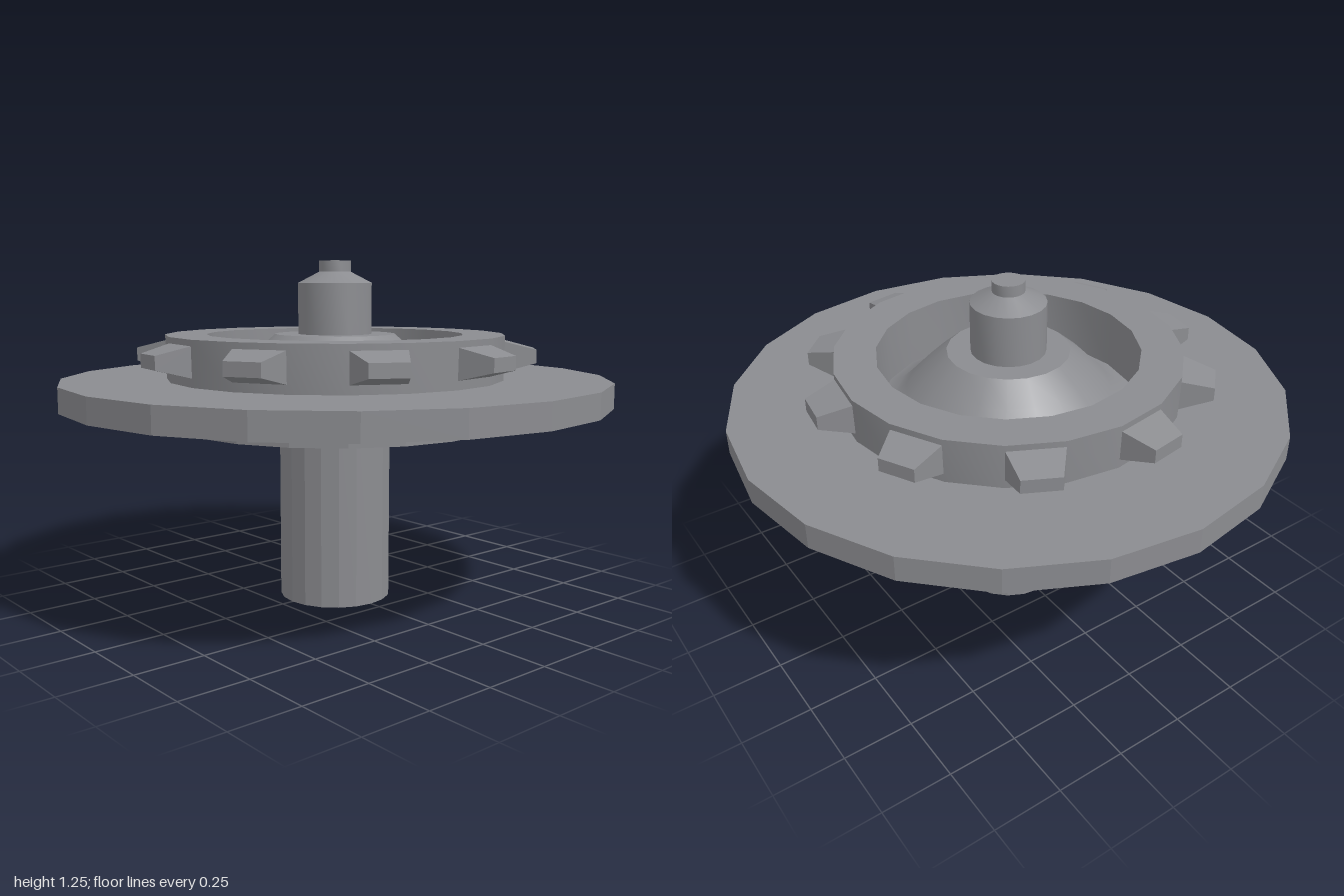
import * as THREE from 'three';
import { toCreasedNormals } from 'three/addons/utils/BufferGeometryUtils.js';

const SIDES = 20;
const FLAT = 0.2;   // below the 18 degree facet angle: every facet stays flat
const SMOOTH = 0.6; // blends facets, keeps rims sharp

export function createModel() {
  const model = new THREE.Group();
  model.name = 'gearedHub';
  const metal = new THREE.MeshStandardMaterial({ color: 0x8b8c90 });
  metal.name = 'grey metal';

  function add(name, geometry, crease) {
    const mesh = new THREE.Mesh(toCreasedNormals(geometry, crease), metal);
    mesh.name = name;
    model.add(mesh);
    return mesh;
  }

  // Turned part from [radius, height] points, listed bottom to top along the outside
  function turned(name, points, crease) {
    const profile = points.map(([r, y]) => new THREE.Vector2(r, y));
    return add(name, new THREE.LatheGeometry(profile, SIDES), crease);
  }

  // Axle below the disc
  turned('shaft', [[0, 0], [0.205, 0], [0.205, 0.74]], FLAT);

  // Wide disc with a raised lip around a recess underneath
  turned('disc', [
    [0.2, 0.73], [0.49, 0.73], [0.49, 0.65], [0.6, 0.65],
    [0.6, 0.73], [1, 0.73], [1, 0.82], [0.6, 0.82],
  ], FLAT);

  // Toothed ring standing on the disc
  turned('ring', [[0.617, 0.82], [0.62, 0.98], [0.47, 0.98], [0.47, 0.76]], SMOOTH);

  // Flared floor rising to the centre
  turned('flaredCentre', [
    [0.475, 0.765], [0.42, 0.785], [0.37, 0.835], [0.3, 0.91], [0.22, 0.98], [0.1, 0.98],
  ], 0.55);

  // Central hub with a tapered shoulder and a small pin
  turned('hub', [
    [0.135, 0.97], [0.135, 1.165], [0.058, 1.205], [0.058, 1.245], [0, 1.245],
  ], SMOOTH);

  // Tapered tooth: a box whose outer end is narrower and thinner
  const tooth = new THREE.BoxGeometry(1, 1, 1);
  const p = tooth.attributes.position;
  for (let i = 0; i < p.count; i++) {
    const tip = p.getX(i) > 0;
    p.setXYZ(
      i,
      tip ? 0.727 : 0.605,
      0.905 + Math.sign(p.getY(i)) * (tip ? 0.024 : 0.055),
      Math.sign(p.getZ(i)) * (tip ? 0.066 : 0.097),
    );
  }

  // Ten teeth on alternate facets of the ring
  for (let i = 0; i < 10; i++) {
    add('tooth' + (i + 1), tooth, FLAT).rotation.y = THREE.MathUtils.degToRad(9 + 36 * i);
  }

  return model;
}
